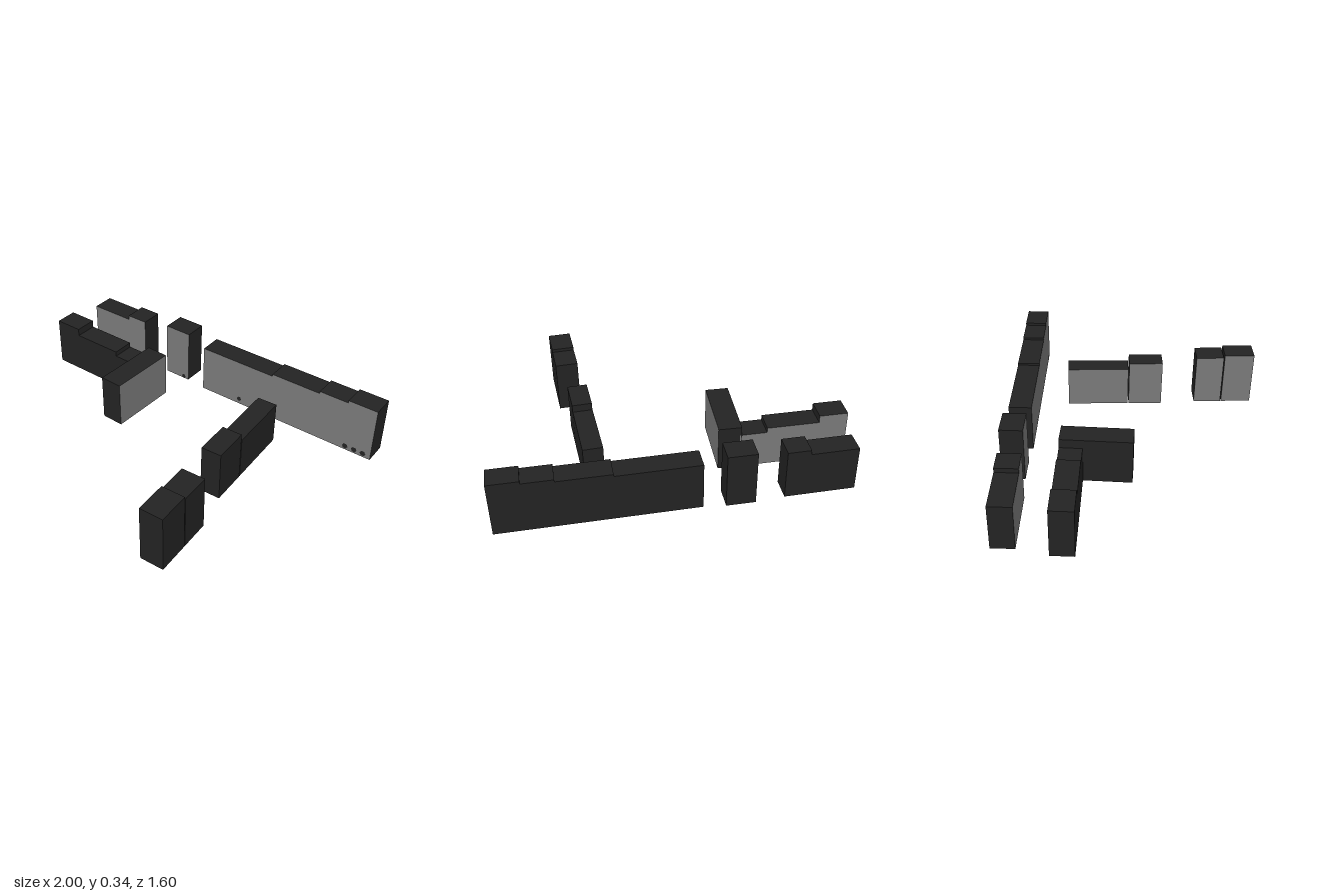
import * as THREE from 'three';

export function createModel() {
  const wall = new THREE.MeshStandardMaterial({ color: 0x232323 });
  wall.name = 'dark wall';
  const facade = new THREE.MeshStandardMaterial({ color: 0x7a7a7a });
  facade.name = 'grey facade';
  const model = new THREE.Group();
  model.name = 'townBlocks';

  // Each row starts at a ground corner and runs along its own x axis;
  // side is the local z direction of the grey facade.
  // houses: [start, end, height]; openings: [along, height of centre, radius]
  const rows = [
    { name: 'longRow', at: [-0.15, -0.48], angle: 16.1, depth: 0.135, side: 1,
      houses: [[0, 0.489, 0.295], [0.489, 0.8, 0.308], [0.8, 0.978, 0.322], [0.978, 1.156, 0.338]],
      openings: [[0.272, 0.035, 0.016], [0.998, 0.025, 0.018], [1.055, 0.025, 0.018], [1.11, 0.025, 0.018]] },
    { name: 'shortRow', at: [-1, -0.24], angle: 16, depth: 0.135, side: 1,
      houses: [[0, 0.28, 0.28], [0.28, 0.416, 0.308]], openings: [] },
    { name: 'singleHouse', at: [-0.44, -0.415], angle: 15.5, depth: 0.137, side: 1,
      houses: [[0, 0.171, 0.338]], openings: [[0.137, 0.016, 0.014]] },
    { name: 'frontRow', at: [-0.955, 0.073], angle: 15.5, depth: 0.135, side: -1,
      houses: [[0, 0.172, 0.3], [0.172, 0.484, 0.255], [0.484, 0.645, 0.225]],
      openings: [[0.02, 0.018, 0.014], [0.585, 0.018, 0.014]] },
    { name: 'cornerWing', at: [-0.21, -0.13], angle: -76, depth: 0.137, side: -1,
      houses: [[0, 0.42, 0.28]], openings: [] },
    { name: 'sideRow', at: [0.54, -0.355], angle: -71.1, depth: 0.118, side: 1,
      houses: [[0, 0.383, 0.255], [0.389, 0.6, 0.297]], openings: [] },
    { name: 'endRow', at: [0.845, 0.405], angle: -71.1, depth: 0.137, side: 1,
      houses: [[0, 0.173, 0.322], [0.179, 0.365, 0.338]], openings: [] },
  ];

  for (const r of rows) {
    const row = new THREE.Group();
    row.name = r.name;
    row.position.set(r.at[0], 0, r.at[1]);
    row.rotation.y = THREE.MathUtils.degToRad(r.angle);

    // Houses: dark boxes with one grey face
    const mats = [0, 1, 2, 3, 4, 5].map(i => (i === (r.side > 0 ? 4 : 5) ? facade : wall));
    for (const [a, b, h] of r.houses) {
      const house = new THREE.Mesh(new THREE.BoxGeometry(b - a, h, r.depth), mats);
      house.name = 'house';
      house.position.set((a + b) / 2, h / 2, r.depth / 2);
      row.add(house);
    }

    // Small six-sided openings on the facade
    for (const [x, y, radius] of r.openings) {
      const opening = new THREE.Mesh(new THREE.CircleGeometry(radius, 6), wall);
      opening.name = 'opening';
      opening.position.set(x, y, r.side > 0 ? r.depth + 0.002 : -0.002);
      if (r.side < 0) opening.rotation.y = Math.PI;
      row.add(opening);
    }
    model.add(row);
  }
  return model;
}
